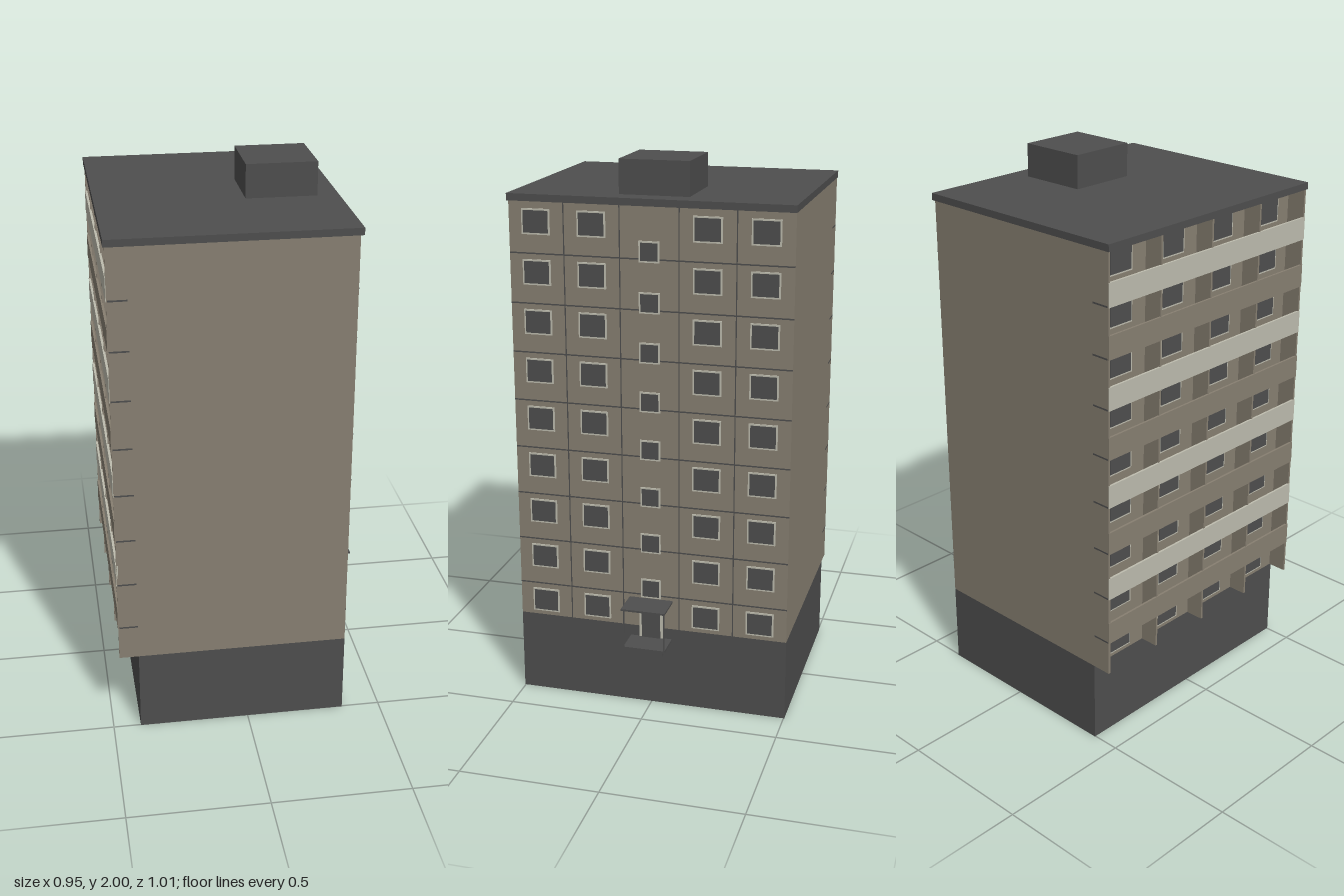
import * as THREE from 'three';

export function createModel() {
  const root = new THREE.Group();
  root.name = 'apartmentBlock';

  const mat = (name, color) => {
    const m = new THREE.MeshStandardMaterial({ color });
    m.name = name;
    return m;
  };
  const wall = mat('tan wall', 0x877f71);
  const dark = mat('dark grey', 0x4e4e4e);
  const light = mat('pale trim', 0xbdbcae);

  // Box given by its min and max corners
  function box(name, material, [x0, x1], [y0, y1], [z0, z1], parent = root) {
    const mesh = new THREE.Mesh(new THREE.BoxGeometry(x1 - x0, y1 - y0, z1 - z0), material);
    mesh.position.set((x0 + x1) / 2, (y0 + y1) / 2, (z0 + z1) / 2);
    mesh.name = name;
    parent.add(mesh);
    return mesh;
  }
  const span = (c, size) => [c - size / 2, c + size / 2];

  const FACE = 0.36, RECESS = -0.4, OUTER = -0.47, HALF = 0.503;
  const BOTTOM = 0.305, TOP = 1.855, STEP = 0.1773, FLOORS = 9;
  const slabY = (i) => 0.432 + i * STEP;

  // Main volumes
  box('base', dark, [RECESS, FACE], [0, BOTTOM], [-HALF, HALF]);
  box('body', wall, [RECESS, FACE], [BOTTOM, TOP], [-HALF, HALF]);
  box('roofSlab', dark, [-0.475, 0.372], [TOP, 1.88], [-0.506, 0.506]);
  box('roofHut', dark, [0.044, 0.295], [1.88, 2], [-0.125, 0.125]);

  // Framed window on a wall facing +x (dir 1) or -x (dir -1)
  function addWindow(name, x, y, z, w, h, dir) {
    const g = new THREE.Group();
    g.name = name;
    const out = (d) => (dir > 0 ? [x, x + d] : [x - d, x]);
    const t = 0.006;
    box('frame', light, out(0.004), span(y, h), span(z, w), g);
    box('glass', dark, out(0.006), span(y, h - 2 * t), span(z, w - 2 * t), g);
    root.add(g);
  }

  // Entrance side: windows and panel joints
  for (let i = 0; i < FLOORS; i++) {
    const y = 0.366 + i * STEP;
    for (const z of [-0.405, -0.205, 0.205, 0.405]) addWindow('flatWindow', FACE, y, z, 0.102, 0.09, 1);
    if (i < FLOORS - 1) {
      addWindow('stairWindow', FACE, 0.458 + i * STEP, 0, 0.074, 0.074, 1);
      box('floorJoint', dark, [FACE, FACE + 0.001], span(slabY(i), 0.005), [-HALF, HALF]);
    }
  }
  for (const z of [-0.305, -0.105, 0.105, 0.305]) {
    box('panelJoint', dark, [FACE, FACE + 0.001], [BOTTOM, TOP], span(z, 0.004));
  }

  // Entrance: door, steps, posts and canopy
  box('doorFrame', light, [FACE, FACE + 0.004], [0.262, 0.396], span(0, 0.088));
  box('door', dark, [FACE, FACE + 0.006], [0.262, 0.388], span(0, 0.07));
  box('lowerStep', dark, [FACE, 0.458], [0.24, 0.255], span(0, 0.135));
  box('upperStep', dark, [FACE, 0.462], [0.255, 0.264], span(0, 0.155));
  box('canopy', dark, [FACE, 0.474], [0.411, 0.418], span(0, 0.163));
  for (const z of [-0.075, 0.075]) {
    box('canopyPost', dark, [0.457, 0.461], [0.26, 0.412], span(z, 0.004));
  }

  // Balcony side: end walls and dividing fins
  for (const s of [-1, 1]) {
    box('balconyEndWall', wall, [OUTER, RECESS], [BOTTOM, TOP], span(s * (HALF - 0.004), 0.008));
  }
  for (const z of [-0.252, 0, 0.252]) {
    box('balconyFin', wall, [OUTER + 0.002, RECESS], [BOTTOM, TOP], span(z, 0.008));
  }

  // Balcony floors, with parapets in alternating colours
  for (let i = 0; i < FLOORS - 1; i++) {
    const y = slabY(i);
    box('balconySlab', dark, [OUTER + 0.003, RECESS], span(y, 0.006), [-HALF - 0.0005, HALF + 0.0005]);
    box('balconyParapet', i % 2 ? light : wall, [OUTER - 0.002, OUTER + 0.006], [y - 0.003, y + 0.08], [-HALF, HALF]);
  }
  for (let i = 0; i < FLOORS; i++) {
    for (const z of [-0.378, -0.126, 0.126, 0.378]) {
      addWindow('balconyWindow', RECESS, 0.366 + i * STEP, z, 0.11, 0.09, -1);
    }
  }

  return root;
}
